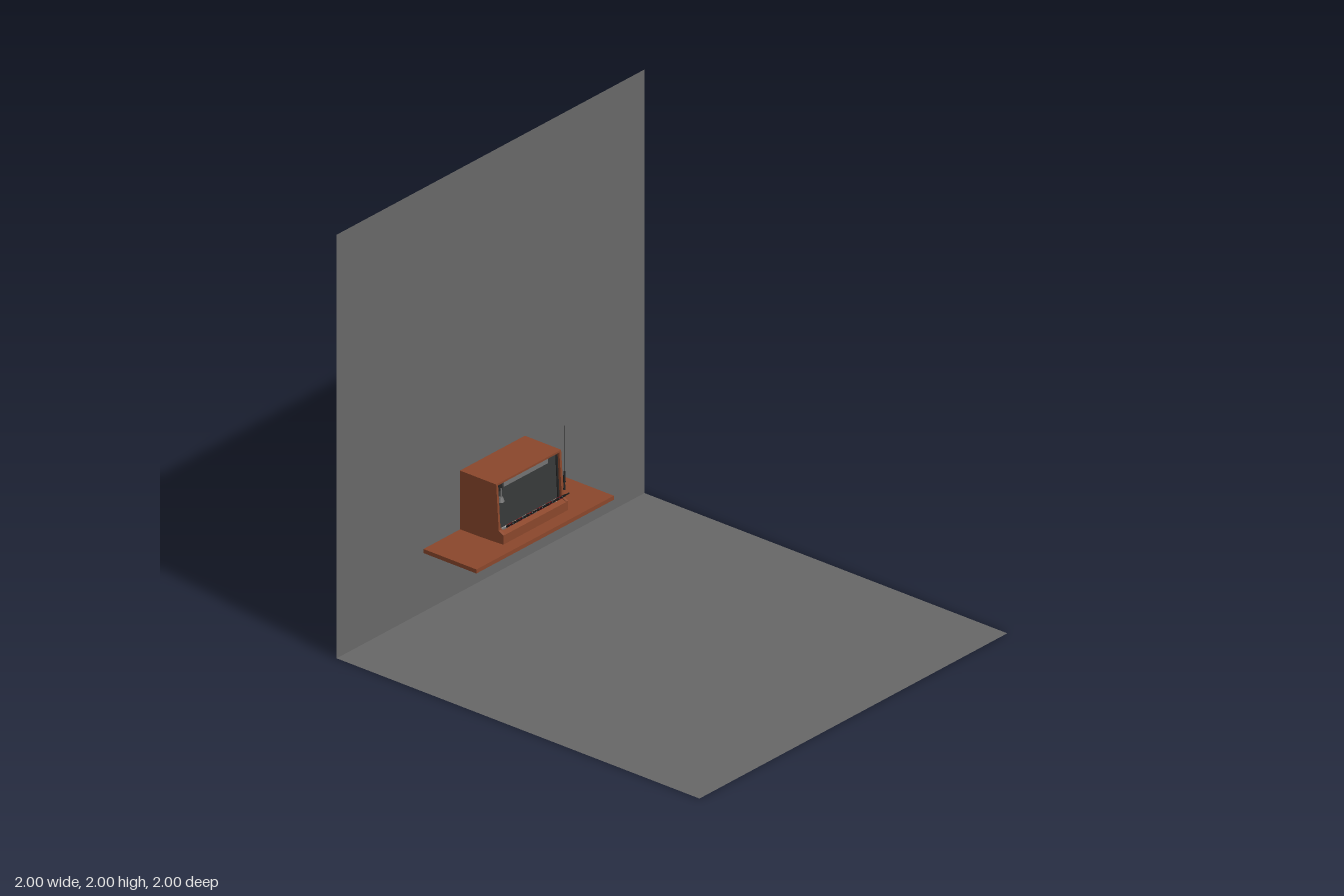
import * as THREE from 'three';

const mat = (color) => new THREE.MeshStandardMaterial({ color, side: THREE.DoubleSide });
const wood = mat(0x8b472c), room = mat(0x686868), dark = mat(0x363838);
const black = mat(0x242424), grey = mat(0x707070), red = mat(0xa01828), white = mat(0xcccccc);

export function createModel() {
  const root = new THREE.Group();
  const add = (name, geo, m, x = 0, y = 0, z = 0) => {
    const mesh = new THREE.Mesh(geo, m);
    mesh.name = name;
    mesh.position.set(x, y, z);
    root.add(mesh);
    return mesh;
  };
  const box = (name, m, x0, x1, y0, y1, z0, z1) => add(name,
    new THREE.BoxGeometry(x1 - x0, y1 - y0, z1 - z0), m, (x0 + x1) / 2, (y0 + y1) / 2, (z0 + z1) / 2);
  // Cylinder running from point a to point b
  const rod = (name, m, a, b, r0, r1 = r0) => {
    const d = b.clone().sub(a), c = a.clone().add(b).multiplyScalar(0.5);
    const mesh = add(name, new THREE.CylinderGeometry(r1, r0, d.length(), 10), m, c.x, c.y, c.z);
    mesh.quaternion.setFromUnitVectors(new THREE.Vector3(0, 1, 0), d.normalize());
    return mesh;
  };
  // Side outline given as [z, y] pairs, swept from x0 to x1
  const sweep = (name, m, pts, x0, x1) => {
    const shape = new THREE.Shape(pts.map(([z, y]) => new THREE.Vector2(-z, y)));
    const geo = new THREE.ExtrudeGeometry(shape, { depth: x1 - x0, bevelEnabled: false });
    geo.rotateY(Math.PI / 2);
    return add(name, geo, m, x0, 0, 0);
  };
  const V = (x, y, z) => new THREE.Vector3(x, y, z);

  // Room surfaces
  add('floor', new THREE.PlaneGeometry(2, 2).rotateX(-Math.PI / 2), room);
  add('wall', new THREE.PlaneGeometry(2, 2), room, 0, 1, -1);

  // Shelf
  box('shelf', wood, -0.448, 0.445, 0.285, 0.304, -0.99, -0.698);

  // Cabinet: two cheeks, roof, stepped base and back
  const cheek = [[-0.99, 0.305], [-0.88, 0.306], [-0.751, 0.311], [-0.751, 0.355],
    [-0.776, 0.368], [-0.79, 0.582], [-0.99, 0.582]];
  for (const s of [-1, 1]) {
    const x = s * 0.205;
    sweep(s < 0 ? 'rightCheek' : 'leftCheek', wood, cheek, x - 0.006, x + 0.006);
  }
  box('roof', wood, -0.2, 0.2, 0.573, 0.582, -0.99, -0.79);
  sweep('base', wood, [[-0.99, 0.305], [-0.88, 0.306], [-0.751, 0.311], [-0.751, 0.353],
    [-0.778, 0.362], [-0.99, 0.362]], -0.2, 0.2);
  box('cabinetBack', wood, -0.2, 0.2, 0.36, 0.575, -0.99, -0.982);

  // Recessed front panel with its lighter top strip and edge posts
  sweep('frontPanel', dark, [[-0.795, 0.362], [-0.81, 0.573], [-0.825, 0.573], [-0.81, 0.362]], -0.199, 0.199);
  sweep('topStrip', grey, [[-0.801, 0.543], [-0.803, 0.572], [-0.812, 0.572], [-0.81, 0.543]], -0.147, 0.14);
  for (const x of [-0.193, 0.193])
    rod('edgePost', black, V(x, 0.365, -0.79), V(x, 0.57, -0.801), 0.005);

  // Row of tilted plugs with alternating collars
  const count = 12;
  for (let i = 0; i < count; i++) {
    const x = -0.178 + i * 0.032, lean = (i % 2 ? 0.004 : -0.009);
    const a = V(x, 0.364, -0.782), b = V(x + lean, 0.414, -0.718);
    const at = (t) => a.clone().lerp(b, t);
    rod('plugCollar', i % 2 ? red : white, a, at(0.4), 0.006);
    rod('plugBody', black, at(0.35), at(0.75), 0.0055, 0.004);
    rod('plugTip', black, at(0.75), b, 0.003);
  }

  // Hook and small bell on the panel
  box('hookPlate', black, -0.19, -0.162, 0.537, 0.57, -0.804, -0.796);
  rod('bellStem', grey, V(-0.176, 0.507, -0.793), V(-0.176, 0.55, -0.793), 0.003);
  rod('bell', grey, V(-0.176, 0.488, -0.793), V(-0.176, 0.508, -0.793), 0.016, 0.009);

  // Hanging mouthpiece on a thin cord
  rod('cord', black, V(0.167, 0.515, -0.735), V(0.167, 0.73, -0.735), 0.0015);
  rod('mouthpieceStem', black, V(0.167, 0.465, -0.735), V(0.167, 0.516, -0.735), 0.006, 0.004);
  rod('mouthpiece', black, V(0.167, 0.43, -0.735), V(0.167, 0.466, -0.735), 0.005, 0.003);
  return root;
}
